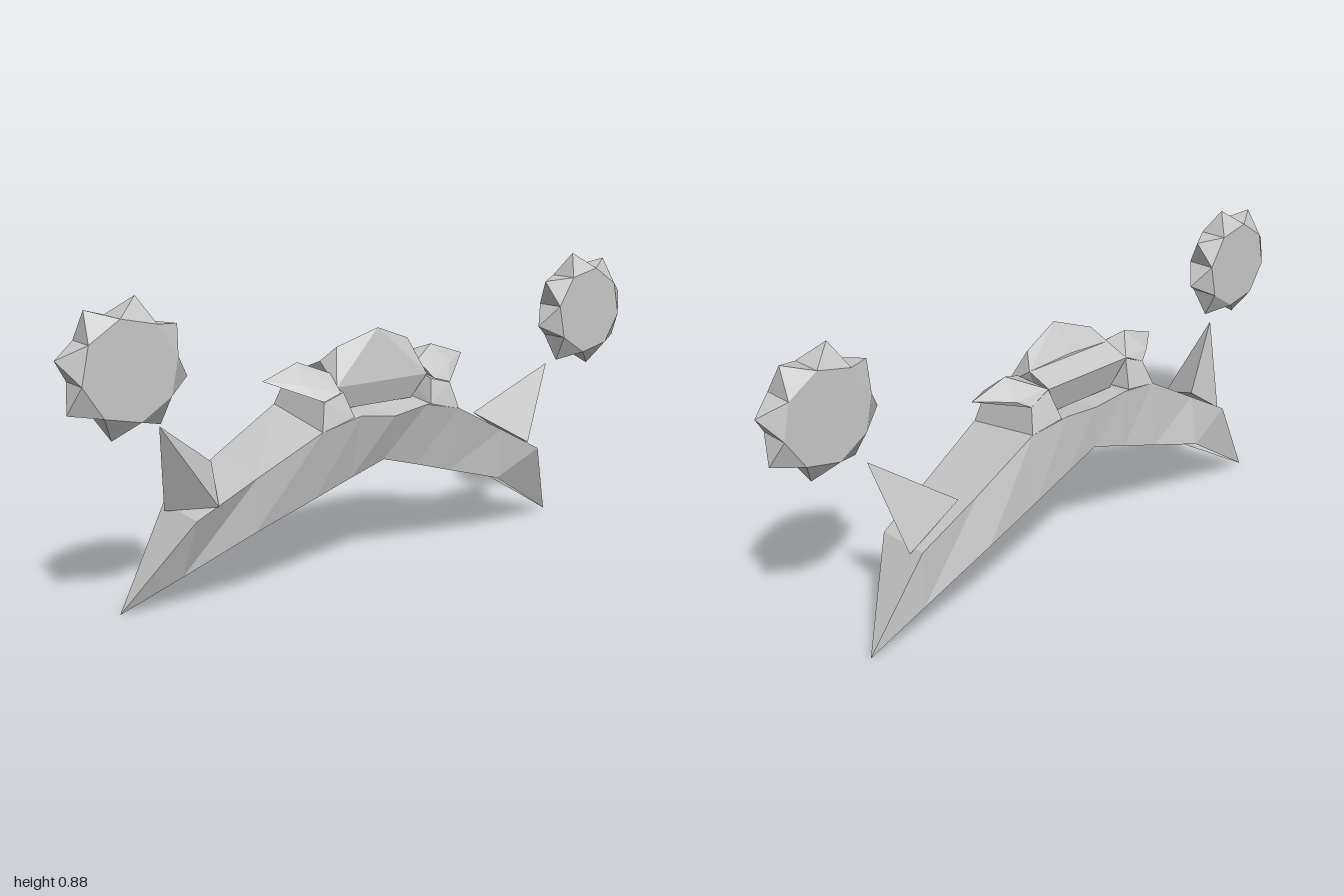
import * as THREE from 'three';
import { ConvexGeometry } from 'three/addons/geometries/ConvexGeometry.js';

const grey = new THREE.MeshStandardMaterial({ color: 0xc8c8c8, side: THREE.DoubleSide });
grey.name = 'plain grey';
grey.flatShading = true;

const part = (name, geometry) => {
  const mesh = new THREE.Mesh(geometry, grey);
  mesh.name = name;
  return mesh;
};

// Faceted solid from a few corner points, optionally mirrored in x
const hull = (points, side = 1) =>
  new ConvexGeometry(points.map(([x, y, z]) => new THREE.Vector3(x * side, y, z)));

// The same points on both sides of x = 0
const both = points => points.flatMap(([x, y, z]) => [[x, y, z], [-x, y, z]]);

// Flat-faced geometry from a list of triangle corners
function facets(pos) {
  const g = new THREE.BufferGeometry();
  g.setAttribute('position', new THREE.Float32BufferAttribute(pos, 3));
  g.computeVertexNormals();
  return g;
}

// Open skin over cross-sections that run along +x
function loft(rows) {
  const pos = [];
  for (let i = 0; i < rows.length - 1; i++) {
    for (let j = 0; j < rows[i].length - 1; j++) {
      const a = rows[i][j], b = rows[i + 1][j], c = rows[i + 1][j + 1], d = rows[i][j + 1];
      pos.push(...a, ...b, ...c, ...a, ...c, ...d);
    }
  }
  return facets(pos);
}

// Gull wing shell, open below: lower front, upper front, upper back, lower back
function bodyGeometry() {
  const tip = [0.8, 0, -0.05];
  const half = [
    [[0, 0.335, 0.085], [0, 0.475, 0.138], [0, 0.505, -0.12], [0, 0.375, -0.115]],
    [[0.12, 0.3, 0.087], [0.12, 0.492, 0.136], [0.12, 0.515, -0.12], [0.12, 0.337, -0.122]],
    [[0.25, 0.26, 0.088], [0.25, 0.462, 0.13], [0.25, 0.5, -0.115], [0.25, 0.296, -0.13]],
    [[0.45, 0.2, 0.09], [0.45, 0.36, 0.105], [0.45, 0.385, -0.106], [0.44, 0.235, -0.14]],
    [[0.64, 0.091, 0.015], [0.63, 0.267, 0.085], [0.635, 0.278, -0.09], [0.64, 0.105, -0.09]],
    [tip, tip, tip, tip],
  ];
  const mirrored = half.slice(1).reverse().map(r => r.map(([x, y, z]) => [-x, y, z]));
  return loft([...mirrored, ...half]);
}

// Eight-sided disc with a pyramid spike on each rim side
function starGeometry(side) {
  const n = 8, r = 0.136, spike = 0.187, h = 0.045, pos = [];
  const at = (a, rad, z) => [Math.cos(a) * rad, Math.sin(a) * rad, z];
  const turn = 0.22, step = Math.PI * 2 / n;
  const start = side > 0 ? turn : Math.PI - turn;
  for (let i = 0; i < n; i++) {
    const mid = start + i * step, a = mid - step / 2, b = mid + step / 2;
    const af = at(a, r, h), bf = at(b, r, h), ab = at(a, r, -h), bb = at(b, r, -h);
    const t = at(mid, spike, 0);
    pos.push(0, 0, h, ...af, ...bf, 0, 0, -h, ...bb, ...ab);
    pos.push(...af, ...t, ...bf, ...bf, ...t, ...bb, ...bb, ...t, ...ab, ...ab, ...t, ...af);
  }
  return facets(pos);
}

export function createModel() {
  const model = new THREE.Group();
  model.name = 'wingedCraft';
  model.add(part('wingBody', bodyGeometry()));

  // Domed cabin and the lower slab behind it, both undercut towards the base
  model.add(part('cabinDome', hull([[0, 0.722, 0.055], [0, 0.64, -0.01], ...both([
    [0.13, 0.675, 0.03], [0.16, 0.605, 0.03], [0.165, 0.57, 0.08],
    [0.16, 0.632, -0.01], [0.12, 0.5, 0.06], [0.12, 0.505, -0.01],
  ])])));
  model.add(part('cabinRear', hull(both([
    [0.16, 0.632, -0.01], [0.16, 0.602, -0.088], [0.12, 0.505, -0.01], [0.12, 0.51, -0.06],
  ]))));

  for (const s of [-1, 1]) {
    const label = s > 0 ? 'left' : 'right';

    // Collar beside the cabin
    model.add(part(label + 'Collar', hull([
      [0.14, 0.49, 0.13], [0.25, 0.46, 0.13], [0.14, 0.515, -0.118], [0.25, 0.5, -0.115],
      [0.16, 0.56, 0.105], [0.23, 0.54, 0.11], [0.16, 0.6, -0.085], [0.23, 0.57, -0.09],
    ], s)));

    // Pointed horn on top of the collar
    model.add(part(label + 'Horn', hull([
      [0.245, 0.64, 0], [0.16, 0.605, 0.04], [0.16, 0.602, -0.085], [0.17, 0.56, 0.108],
      [0.23, 0.542, 0.11], [0.23, 0.57, -0.09], [0.27, 0.588, 0.06], [0.27, 0.593, -0.07],
      [0.365, 0.6, 0.005],
    ], s)));

    // Three-sided fin near the wing end
    model.add(part(label + 'Fin', hull([
      [0.705, 0.53, 0.035], [0.57, 0.3, 0.1], [0.652, 0.265, -0.055], [0.49, 0.375, -0.072],
    ], s)));

    // Floating spiked disc above the fin
    const star = part(label + 'SpikedDisc', starGeometry(s));
    star.position.set(0.8175 * s, 0.702, 0.067);
    model.add(star);
  }
  return model;
}
